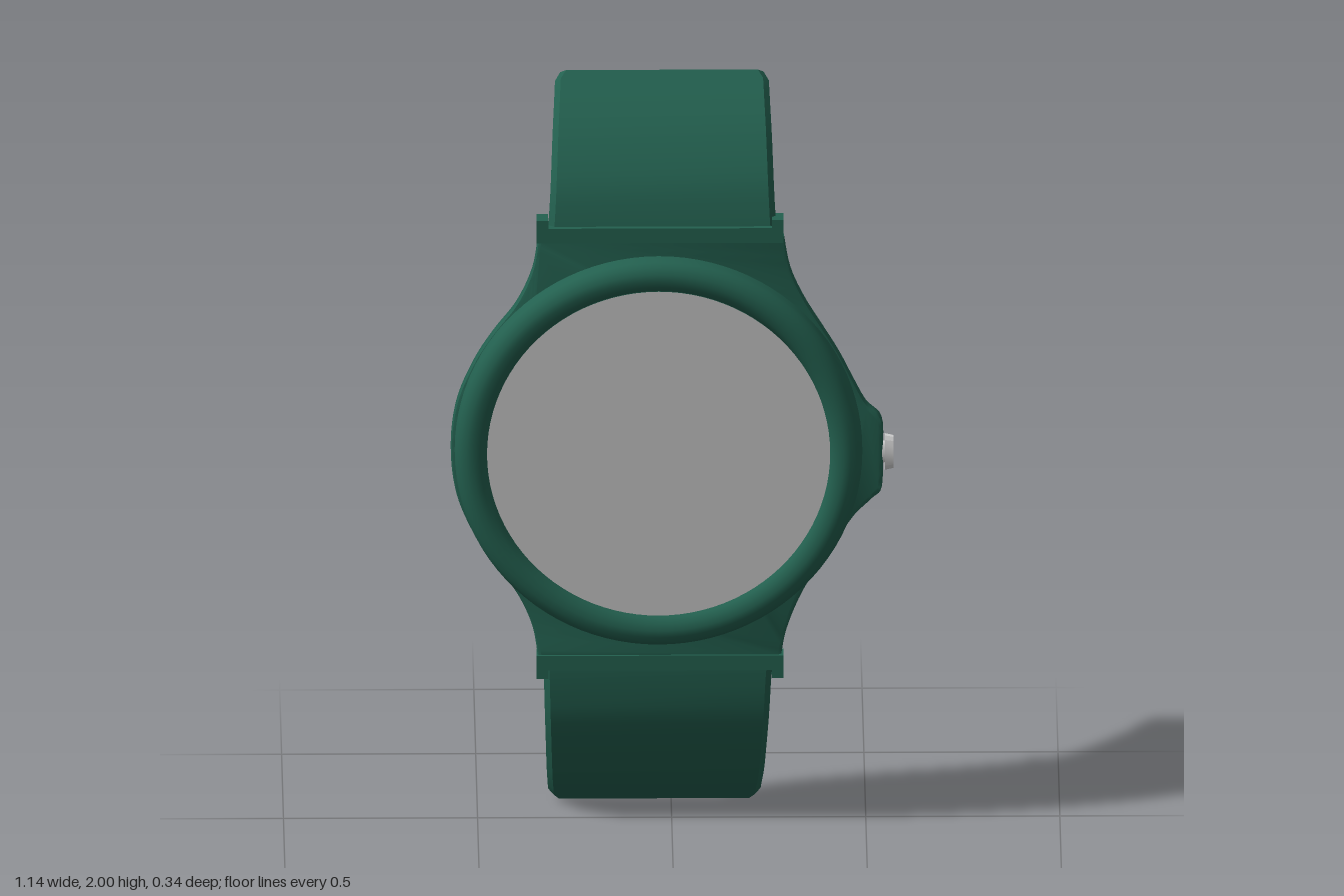
import * as THREE from 'three';
import { toCreasedNormals } from 'three/addons/utils/BufferGeometryUtils.js';

const CX = -0.035, CY = 1.045; // dial centre
const vec = (list) => list.map(([x, y]) => new THREE.Vector2(x, y));

// Curved band lofted from bottom to top; outer and inner are [z, y] paths,
// low and high are the [left, right] edges at both ends; freeEnd is 0 or 1.
function strapGeometry(outer, inner, low, high, freeEnd) {
  const oc = new THREE.SplineCurve(vec(outer)), ic = new THREE.SplineCurve(vec(inner));
  const N = 14, M = 6, pos = [], index = [];
  for (let i = 0; i <= N; i++) {
    const t = i / N, o = oc.getPoint(t), n = ic.getPoint(t);
    const m = n.clone().lerp(o, 0.6);
    const inset = t === freeEnd ? 0.012 : 0;
    const l = THREE.MathUtils.lerp(low[0], high[0], t) + inset;
    const r = THREE.MathUtils.lerp(low[1], high[1], t) - inset;
    for (const [x, p] of [[l, n], [l, m], [l + 0.015, o], [r - 0.015, o], [r, m], [r, n]]) pos.push(x, p.y, p.x);
  }
  for (let i = 0; i < N; i++) {
    for (let j = 0; j < M; j++) {
      const a = i * M + j, b = i * M + (j + 1) % M;
      index.push(a, b, b + M, a, b + M, a + M);
    }
  }
  for (let k = 1; k < M - 1; k++) {
    index.push(0, k + 1, k, N * M, N * M + k, N * M + k + 1);
  }
  const g = new THREE.BufferGeometry();
  g.setAttribute('position', new THREE.Float32BufferAttribute(pos, 3));
  g.setIndex(index);
  return toCreasedNormals(g, 0.5);
}

export function createModel() {
  const group = new THREE.Group();
  const material = (name, color) => {
    const m = new THREE.MeshStandardMaterial({ color });
    m.name = name;
    return m;
  };
  const green = material('dark green resin', 0x23604f);
  const grey = material('dial grey', 0xc4c4c4);
  const silver = material('crown silver', 0xd8d8d8);

  const add = (name, geometry, mat, x = 0, y = 0, z = 0) => {
    const mesh = new THREE.Mesh(geometry, mat);
    mesh.name = name;
    mesh.position.set(x, y, z);
    group.add(mesh);
    return mesh;
  };

  // Case plate: round body flowing into the lugs, with a crown guard at +x
  const upperLeft = [[-0.345, 1.62], [-0.36, 1.53], [-0.4, 1.44], [-0.46, 1.36], [-0.51, 1.28], [-0.555, 1.17]];
  const left = [...upperLeft, [-0.57, CY], ...upperLeft.map(([x, y]) => [x, 2 * CY - y]).reverse()];
  const right = [
    [0.28, 0.47], [0.295, 0.55], [0.335, 0.65], [0.385, 0.73], [0.43, 0.8], [0.47, 0.86],
    [0.515, 0.905], [0.54, 0.935], [0.543, 1.03], [0.54, 1.12], [0.5, 1.165], [0.47, 1.22],
    [0.43, 1.3], [0.385, 1.375], [0.34, 1.45], [0.305, 1.53], [0.288, 1.62],
  ];
  const outline = new THREE.Shape([
    ...new THREE.SplineCurve(vec(left)).getPoints(72),
    ...new THREE.SplineCurve(vec(right)).getPoints(80),
  ]);
  const caseGeometry = new THREE.ExtrudeGeometry(outline, {
    depth: 0.024, bevelThickness: 0.009, bevelSize: 0.01, bevelOffset: -0.01, bevelSegments: 2,
  });
  add('case', toCreasedNormals(caseGeometry, 0.6), green, 0, 0, 0.077);

  // Rounded bezel ring
  const profile = vec([
    [0.525, 0.1], [0.525, 0.135], [0.521, 0.15], [0.511, 0.163], [0.495, 0.172],
    [0.477, 0.173], [0.46, 0.168], [0.447, 0.157], [0.44, 0.14],
  ]);
  add('bezel', new THREE.LatheGeometry(profile, 96).rotateX(Math.PI / 2), green, CX, CY);

  // Dial face
  add('dial', new THREE.CircleGeometry(0.442, 96), grey, CX, CY, 0.15);

  // Back cover: thin disc whose normals swell outwards like a shallow dome
  const cover = new THREE.CircleGeometry(0.47, 96).rotateY(Math.PI);
  const p = cover.attributes.position, n = new THREE.Vector3();
  for (let i = 0; i < p.count; i++) {
    n.set(p.getX(i) / 0.47, p.getY(i) / 0.47, -1).normalize();
    cover.attributes.normal.setXYZ(i, n.x, n.y, n.z);
  }
  add('backCover', cover, green, CX, CY, 0.066);

  // Lug bars with a small horn at each end
  for (const [side, s] of [['upper', 1], ['lower', -1]]) {
    const at = (d) => CY + s * d;
    add(side + 'LugBar', new THREE.BoxGeometry(0.63, 0.04, 0.054), green, -0.031, at(0.583), 0.09);
    for (const x of [-0.334, 0.272]) {
      add(side + 'LugHorn', new THREE.BoxGeometry(0.03, 0.062, 0.054), green, x, at(0.594), 0.09);
    }
  }

  // Straps
  add('upperStrap', strapGeometry(
    [[0.105, 1.62], [0.098, 1.67], [0.075, 1.76], [0.015, 1.865], [-0.05, 1.94], [-0.115, 2]],
    [[0.068, 1.62], [0.063, 1.67], [0.04, 1.745], [-0.02, 1.845], [-0.075, 1.91], [-0.145, 1.975]],
    [-0.321, 0.271], [-0.298, 0.25], 1), green);
  add('lowerStrap', strapGeometry(
    [[-0.148, 0], [-0.09, 0.05], [-0.03, 0.105], [0.04, 0.2], [0.088, 0.3], [0.104, 0.42], [0.105, 0.46]],
    [[-0.172, 0.035], [-0.12, 0.085], [-0.06, 0.15], [0.01, 0.245], [0.05, 0.33], [0.066, 0.42], [0.068, 0.46]],
    [-0.316, 0.228], [-0.333, 0.262], 0), green);

  // Winding crown, a flattened ribbed knob
  const stem = new THREE.CylinderGeometry(0.03, 0.03, 0.02, 12).rotateZ(Math.PI / 2).scale(1, 1, 0.35);
  add('crownStem', stem, silver, 0.541, 1.03, 0.095);
  const knob = new THREE.CylinderGeometry(0.045, 0.05, 0.022, 16).rotateZ(-Math.PI / 2).scale(1, 1, 0.34);
  add('crown', toCreasedNormals(knob, 0.2), silver, 0.559, 1.03, 0.095);

  return group;
}
